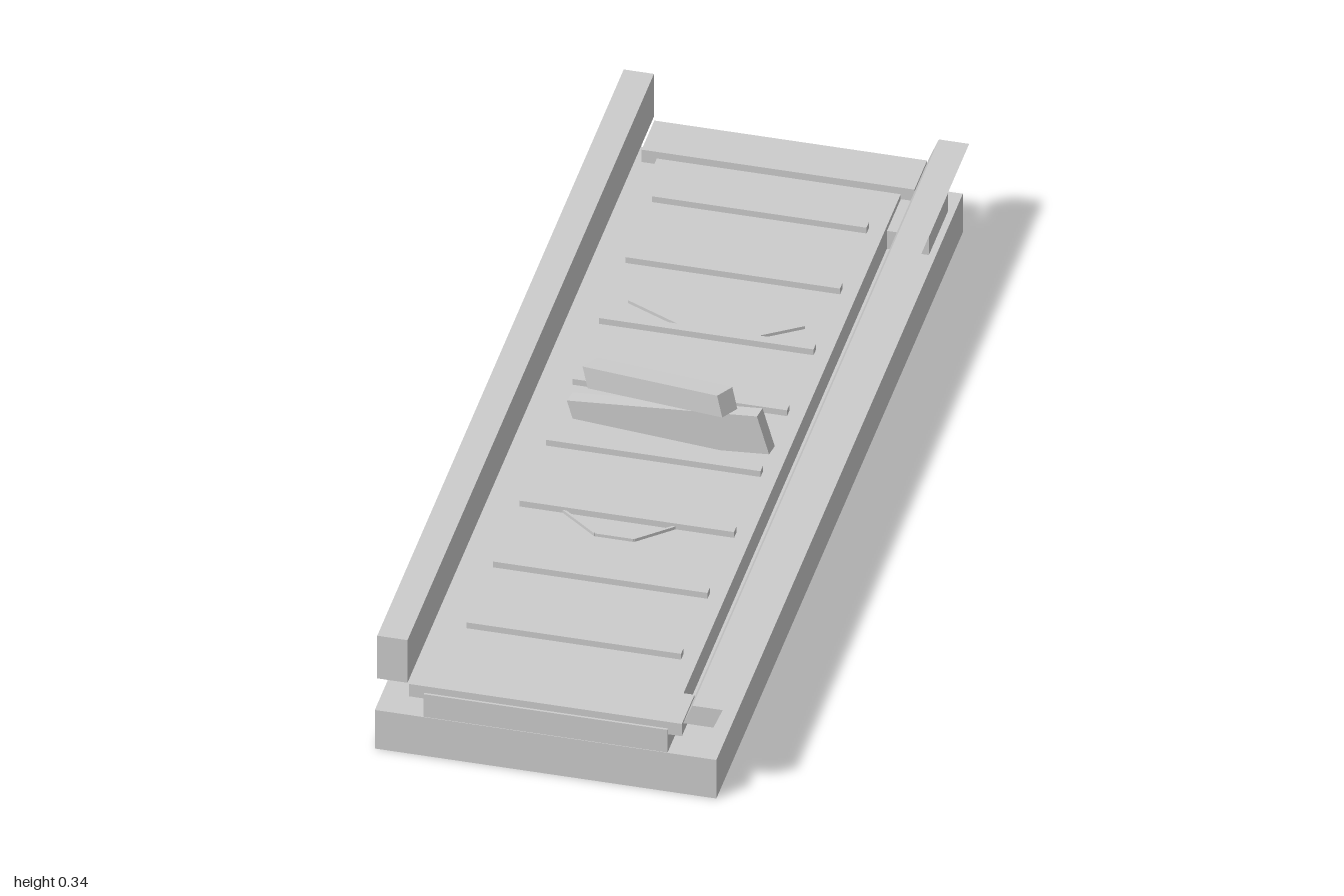
import * as THREE from 'three';

const grey = new THREE.MeshStandardMaterial({ color: 0xcccccc, flatShading: true });

export function createModel() {
  const model = new THREE.Group();

  const add = (name, geometry) => {
    const mesh = new THREE.Mesh(geometry, grey);
    mesh.name = name;
    model.add(mesh);
    return mesh;
  };

  // Box given by its lower and upper limits
  const block = (name, [x0, y0, z0], [x1, y1, z1]) => {
    const mesh = add(name, new THREE.BoxGeometry(x1 - x0, y1 - y0, z1 - z0));
    mesh.position.set((x0 + x1) / 2, (y0 + y1) / 2, (z0 + z1) / 2);
  };

  // Box spanned by three edge vectors about a centre
  const skewBlock = (name, centre, length, height, depth) => {
    const v = (a) => new THREE.Vector3(...a);
    const matrix = new THREE.Matrix4().makeBasis(v(length), v(height), v(depth)).setPosition(v(centre));
    add(name, new THREE.BoxGeometry(1, 1, 1).applyMatrix4(matrix));
  };

  // Base and raised deck
  block('base', [-0.357, 0, -1], [0.343, 0.094, 1]);
  block('deck', [-0.257, 0.095, -1], [0.243, 0.15, 1]);

  // Caps across both ends of the deck
  for (const side of [-1, 1]) {
    const z = [side * 0.892, side * 0.995].sort((a, b) => a - b);
    block('endCap', [-0.288, 0.136, z[0]], [0.271, 0.166, z[1]]);
  }

  // Small block beside the deck
  block('sideBlock', [0.243, 0.094, -0.935], [0.329, 0.138, -0.78]);

  // Side rails: one square, one leaning outward
  block('rightRail', [-0.352, 0.172, -1], [-0.29, 0.276, 1]);
  skewBlock('leftRail', [0.3155, 0.195, 0], [0.062, 0, 0], [0.019, 0.046, 0], [0, 0, 2]);

  // Evenly spaced cross battens
  for (let i = 0; i < 8; i++) {
    const z = 0.75 - i * 0.215;
    block('batten', [-0.23, 0.148, z - 0.01], [0.21, 0.164, z + 0.01]);
  }

  // Fallen beams
  skewBlock('upperBeam', [-0.0205, 0.261, 0.0185],
    [0.325, 0.12, 0.195], [-0.0123, 0.0457, 0.0075 * -1], [-0.022, 0, 0.036]);
  skewBlock('lowerBeam', [0.002, 0.179, 0.02],
    [0.401, 0.062, 0.045], [-0.025, 0.088, 0], [-0.004, 0, 0.03]);

  // Thin bent strips lying on the deck
  const strips = [
    [[-0.19, -0.4], [-0.04, -0.33], [0.066, -0.33], [0.17, -0.4]],
    [[-0.15, 0.32], [-0.06, 0.39], [0.02, 0.39], [0.12, 0.3]],
  ];
  for (const points of strips) {
    for (let i = 0; i < points.length - 1; i++) {
      const [x0, z0] = points[i];
      const [x1, z1] = points[i + 1];
      const dx = x1 - x0, dz = z1 - z0, len = Math.hypot(dx, dz);
      skewBlock('bentStrip', [(x0 + x1) / 2, 0.153, (z0 + z1) / 2],
        [dx, 0, dz], [0, 0.008, 0], [-dz / len * 0.005, 0, dx / len * 0.005]);
    }
  }

  return model;
}
